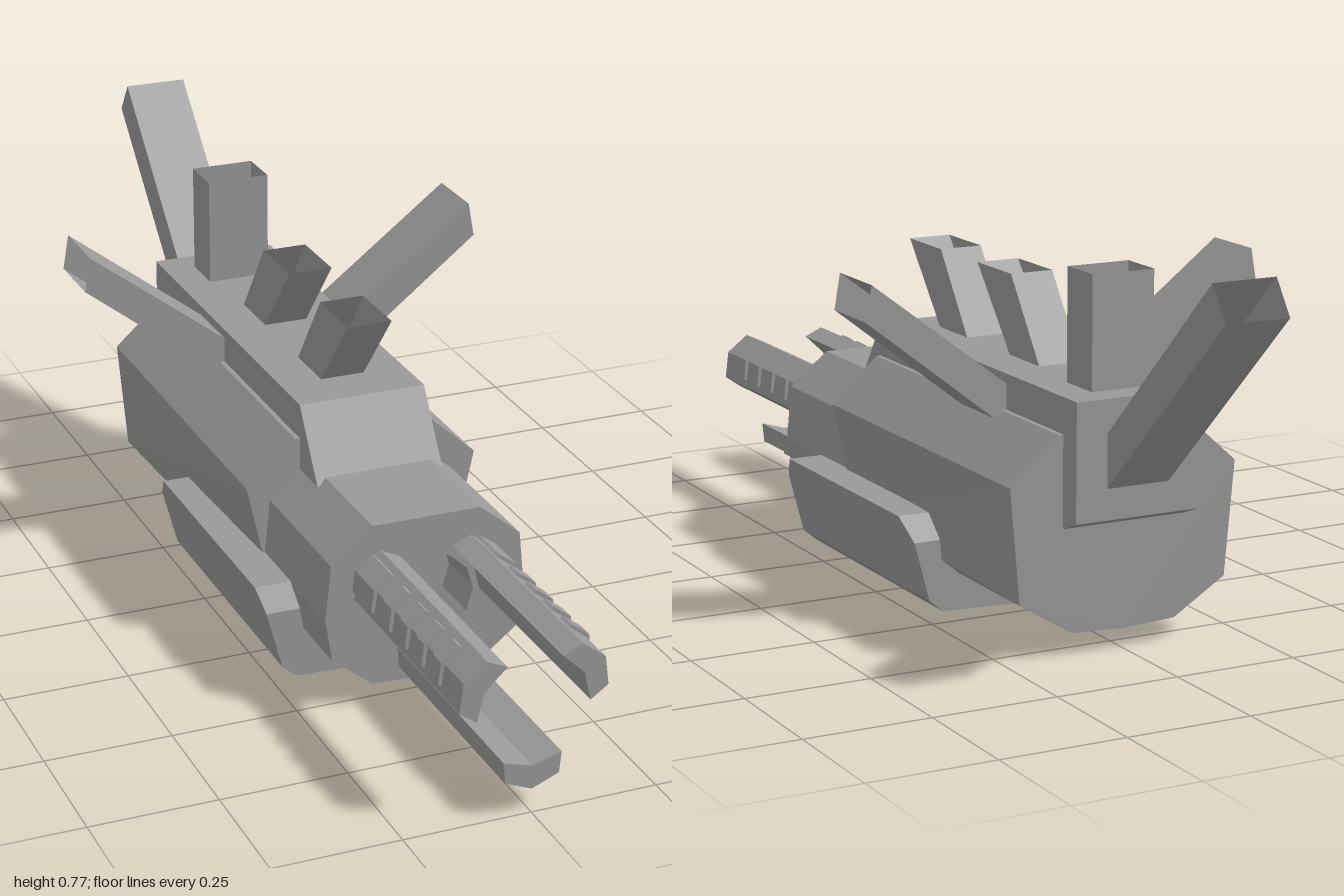
import * as THREE from 'three';

const color = 0x999999;
const solid = new THREE.MeshStandardMaterial({ color, flatShading: true });
const open = new THREE.MeshStandardMaterial({ color, flatShading: true, side: THREE.DoubleSide });

// Mirrors a right-hand half profile (bottom centre upwards) into a closed ring at depth z
const ring = (half, z) => [
  ...half.map(([x, y]) => [x, y, z]),
  ...half.filter(([x]) => x > 0).reverse().map(([x, y]) => [-x, y, z]),
];

// Skins consecutive rings (counter-clockwise, front to back), with optional end caps
function loft(rings, capped = true) {
  const pos = [];
  const n = rings[0].length;
  const tri = (a, b, c) => pos.push(...a, ...b, ...c);
  for (let r = 0; r < rings.length - 1; r++) {
    for (let i = 0; i < n; i++) {
      const j = (i + 1) % n, A = rings[r], B = rings[r + 1];
      tri(A[i], B[i], B[j]);
      tri(A[i], B[j], A[j]);
    }
  }
  if (capped) {
    const A = rings[0], B = rings[rings.length - 1];
    for (let i = 1; i < n - 1; i++) {
      tri(A[0], A[i], A[i + 1]);
      tri(B[0], B[i + 1], B[i]);
    }
  }
  const g = new THREE.BufferGeometry();
  g.setAttribute('position', new THREE.Float32BufferAttribute(pos, 3));
  g.computeVertexNormals();
  return g;
}

const shapeOf = (pts) => new THREE.Shape(pts.map(([x, y]) => new THREE.Vector2(x, y)));
const extrude = (shape, depth) => new THREE.ExtrudeGeometry(shape, { depth, bevelEnabled: false });

export function createModel() {
  const model = new THREE.Group();
  const add = (name, geometry, material = solid, parent = model) => {
    const mesh = new THREE.Mesh(geometry, material);
    mesh.name = name;
    parent.add(mesh);
    return mesh;
  };

  // Rear hull, slightly wider low down at the back
  const hull = (w) => [[0, 0.042], [0.11, 0.047], [w, 0.115], [0.24, 0.34], [0.14, 0.43]];
  add('rearHull', loft([ring(hull(0.19), 0.22), ring(hull(0.22), -0.55)]));

  // Front hull with a round socket in its face
  const front = ring([[0, 0.042], [0.108, 0.047], [0.19, 0.112], [0.204, 0.198], [0.193, 0.31], [0.11, 0.378]], 0);
  const face = shapeOf(front);
  const axisY = 0.21;
  const circle = [];
  for (let i = 0; i < 12; i++) {
    const a = (i / 12) * Math.PI * 2;
    circle.push(new THREE.Vector2(0.098 * Math.cos(a), axisY + 0.09 * Math.sin(a)));
  }
  face.holes.push(new THREE.Path(circle));
  add('frontHull', extrude(face, 0.33)).position.z = 0.2;
  add('socketFloor', new THREE.ShapeGeometry(new THREE.Shape(circle))).position.z = 0.42;

  // Lower shell wrapping the belly, with chamfered ends
  const shell = (x, y) => [[0, 0.003], [0.205, 0.011], [0.233, 0.035], [x, y]];
  add('lowerShell', loft([
    ring(shell(0.265, 0.155), 0.385), ring(shell(0.277, 0.2), 0.355),
    ring(shell(0.277, 0.2), -0.16), ring(shell(0.265, 0.155), -0.205),
  ]));

  // Upper deck with sloped nose and overhanging tail, drawn as a side profile
  const deck = extrude(shapeOf([
    [0.31, 0.365], [0.22, 0.5], [-0.6, 0.5], [-0.6, 0.27], [-0.55, 0.25], [-0.5, 0.25], [-0.5, 0.36],
  ]), 0.26);
  deck.translate(0, 0, -0.13).rotateY(-Math.PI / 2);
  add('upperDeck', deck);

  // Three prongs around the socket, each with a collar and four ribs
  const prong = shapeOf([[-0.057, -0.095], [-0.053, -0.137], [0, -0.159], [0.053, -0.137], [0.057, -0.095], [0, -0.112]]);
  const rib = shapeOf([[-0.04, -0.13], [-0.04, -0.15], [0, -0.167], [0.04, -0.15], [0.04, -0.13]]);
  for (let i = 0; i < 3; i++) {
    const arm = new THREE.Group();
    arm.name = 'prong' + (i + 1);
    arm.position.y = axisY;
    arm.rotation.z = (i * Math.PI * 2) / 3;
    add('prongBar', extrude(prong, 0.49), solid, arm).position.z = 0.51;
    add('prongCollar', extrude(rib, 0.11), solid, arm).position.z = 0.51;
    for (let k = 0; k < 4; k++) {
      add('prongRib', extrude(rib, 0.036), solid, arm).position.z = 0.884 - k * 0.073;
    }
    model.add(arm);
  }

  // Open square pipes: each side profile [z, y] runs base front, base back, top back, top front
  const pipe = (name, w, [a, b, c, d]) => {
    const end = (p, q) => [[-w, p[1], p[0]], [w, p[1], p[0]], [w, q[1], q[0]], [-w, q[1], q[0]]];
    add(name, loft([end(a, b), end(d, c)], false), open);
  };
  for (const [i, z] of [0, -0.3].entries()) {
    pipe('leaningPipe' + (i + 1), 0.045, [[z + 0.12, 0.5], [z, 0.5], [z + 0.115, 0.66], [z + 0.255, 0.66]]);
  }
  pipe('uprightPipe', 0.065, [[-0.445, 0.5], [-0.54, 0.5], [-0.54, 0.72], [-0.445, 0.72]]);
  pipe('tailPipe', 0.065, [[-0.55, 0.387], [-0.55, 0.283], [-1, 0.71], [-0.955, 0.775]]);

  // Slanted side pipes
  for (const s of [1, -1]) {
    const end = (x0, y0, x1, y1) => [[s * x0, y0, -0.19], [s * x1, y1, -0.19], [s * x1, y1, -0.327], [s * x0, y0, -0.327]];
    add(s > 0 ? 'leftSidePipe' : 'rightSidePipe',
      loft([end(0.12, 0.388, 0.12, 0.473), end(0.422, 0.625, 0.41, 0.695)], false), open);
  }
  return model;
}
